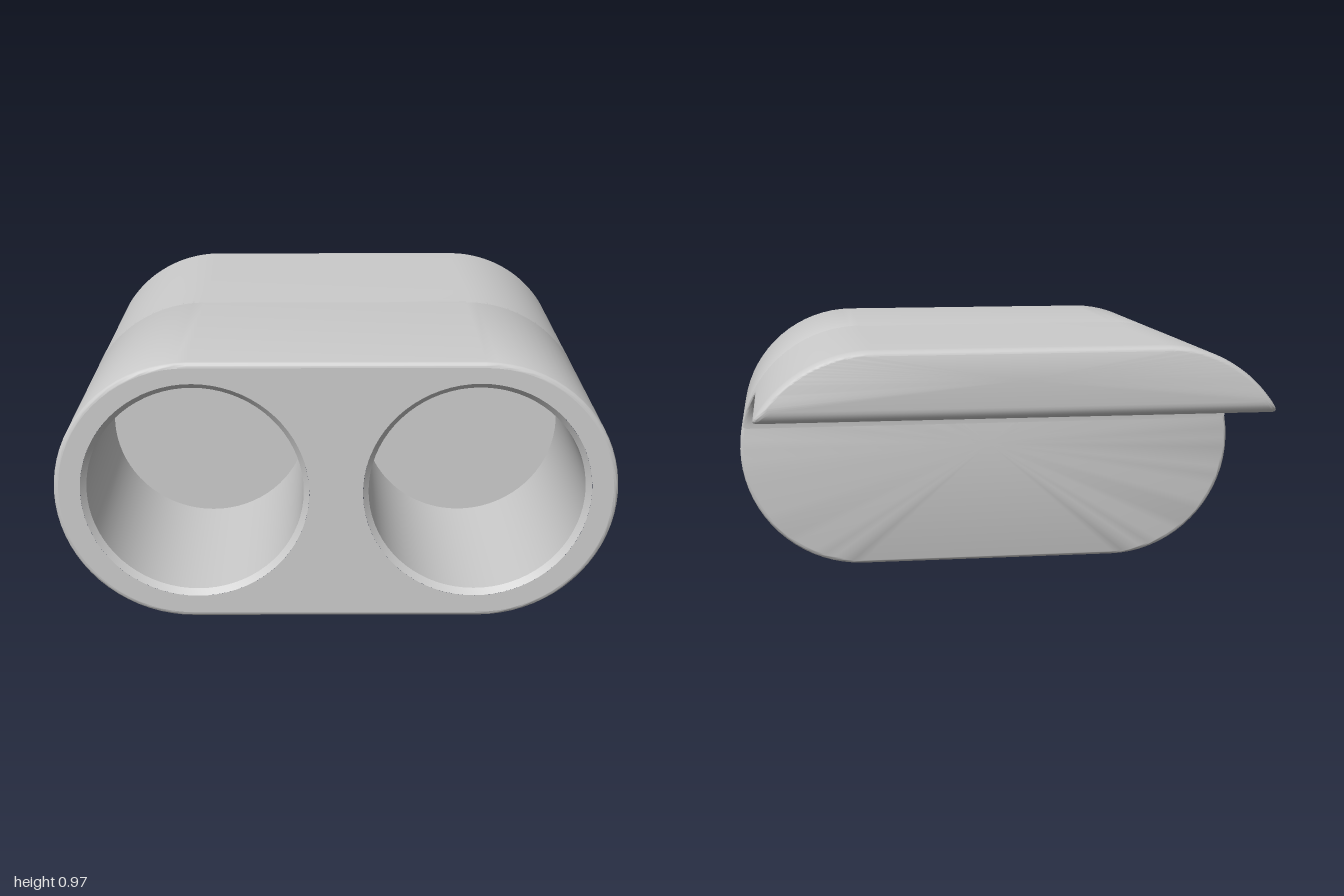
import * as THREE from 'three';
import { toCreasedNormals } from 'three/addons/utils/BufferGeometryUtils.js';

const R = 0.485, HX = 0.515, CY = 0.485; // stadium radius, arc centre offset, centre height
const FRONT = 0.82, BACK = -0.82, EDGE = 0.018, FILLET = 0.15, SHELF_Y = 0.72;
const V = (x, y) => new THREE.Vector2(x, y);

// Counter-clockwise stadium outline, inset, optionally cut flat at a floor height with softened corners
function section(inset, floor = null) {
  const r = R - inset, n = 36, soft = 0.025;
  const cut = floor !== null;
  const start = cut ? Math.asin((floor - CY) / r) : -Math.PI / 2;
  const a0 = cut ? start + soft / r : start;
  const right = [];
  if (cut) {
    const corner = V(HX + r * Math.cos(start), floor);
    const arcStart = V(HX + r * Math.cos(a0), CY + r * Math.sin(a0));
    const curve = new THREE.QuadraticBezierCurve(V(corner.x - soft, floor), corner, arcStart);
    right.push(...curve.getPoints(8).slice(0, -1));
  }
  for (let i = 0; i <= n; i++) {
    const a = a0 + (Math.PI / 2 - a0) * i / n;
    right.push(V(HX + r * Math.cos(a), CY + r * Math.sin(a)));
  }
  const left = right.map(p => V(-p.x, p.y)).reverse();
  return [...right, ...left];
}

// Skin through outlines ordered from back to front, closed at the back
function loft(rings) {
  const pos = [], idx = [], n = rings[0].pts.length;
  for (const { z, pts } of rings) for (const p of pts) pos.push(p.x, p.y, z);
  for (let i = 0; i < rings.length - 1; i++) {
    for (let j = 0; j < n; j++) {
      const k = (j + 1) % n;
      const a = i * n + j, b = i * n + k, c = b + n, d = a + n;
      idx.push(a, b, c, a, c, d);
    }
  }
  const first = rings[0].pts, mid = pos.length / 3;
  pos.push(0, (first[0].y + Math.max(...first.map(p => p.y))) / 2, rings[0].z);
  for (let j = 0; j < n; j++) idx.push(mid, (j + 1) % n, j);
  const g = new THREE.BufferGeometry();
  g.setAttribute('position', new THREE.Float32BufferAttribute(pos, 3));
  g.setIndex(idx);
  return toCreasedNormals(g, 0.7);
}

export function createModel() {
  const group = new THREE.Group();
  const mat = new THREE.MeshStandardMaterial({ color: 0xcccccc });
  const add = (name, geo) => {
    const m = new THREE.Mesh(geo, mat);
    m.name = name;
    group.add(m);
    return m;
  };
  const steps = 6;

  // Main body with rounded front and back rims
  const body = [];
  for (let i = 0; i <= steps; i++) {
    const a = i / steps * Math.PI / 2;
    body.push({ z: EDGE * (1 - Math.cos(a)), pts: section(EDGE * (1 - Math.sin(a))) });
  }
  for (let i = 0; i <= steps; i++) {
    const a = i / steps * Math.PI / 2;
    body.push({ z: FRONT - EDGE * (1 - Math.sin(a)), pts: section(EDGE * (1 - Math.cos(a))) });
  }
  add('body', loft(body));

  // Front face with two round openings
  const boreX = 0.5, boreY = 0.49, mouth = 0.405, bore = 0.385, floorZ = 0.08;
  const face = new THREE.Shape(section(EDGE));
  for (const s of [-1, 1]) {
    face.holes.push(new THREE.Path().absarc(s * boreX, boreY, mouth, 0, Math.PI * 2, true));
  }
  add('frontFace', new THREE.ShapeGeometry(face, 72).translate(0, 0, FRONT));

  // Blind bores with a chamfered mouth
  const profile = [V(mouth, FRONT), V(bore, FRONT - 0.02), V(bore, floorZ), V(0, floorZ)];
  const boreGeo = toCreasedNormals(new THREE.LatheGeometry(profile, 72).rotateX(Math.PI / 2), 0.5);
  for (const s of [-1, 1]) {
    add(s > 0 ? 'leftBore' : 'rightBore', boreGeo).position.set(s * boreX, boreY, 0);
  }

  // Rear shelf: rounded back end, flat underside, concave fillet into the body
  const shelf = [], END = 0.045;
  for (let i = 0; i <= steps; i++) {
    const a = i / steps * Math.PI / 2, k = 1 - Math.sin(a);
    shelf.push({ z: BACK + END * (1 - Math.cos(a)), pts: section(EDGE * k, SHELF_Y + END * k) });
  }
  for (let i = 0; i <= 16; i++) {
    const a = (1 - i / 16) * Math.PI / 2;
    shelf.push({
      z: -FILLET + FILLET * Math.cos(a),
      pts: section(0, SHELF_Y - FILLET + FILLET * Math.sin(a)),
    });
  }
  shelf.push({ z: 0.04, pts: section(0, SHELF_Y - FILLET) });
  add('shelf', loft(shelf));

  return group;
}
